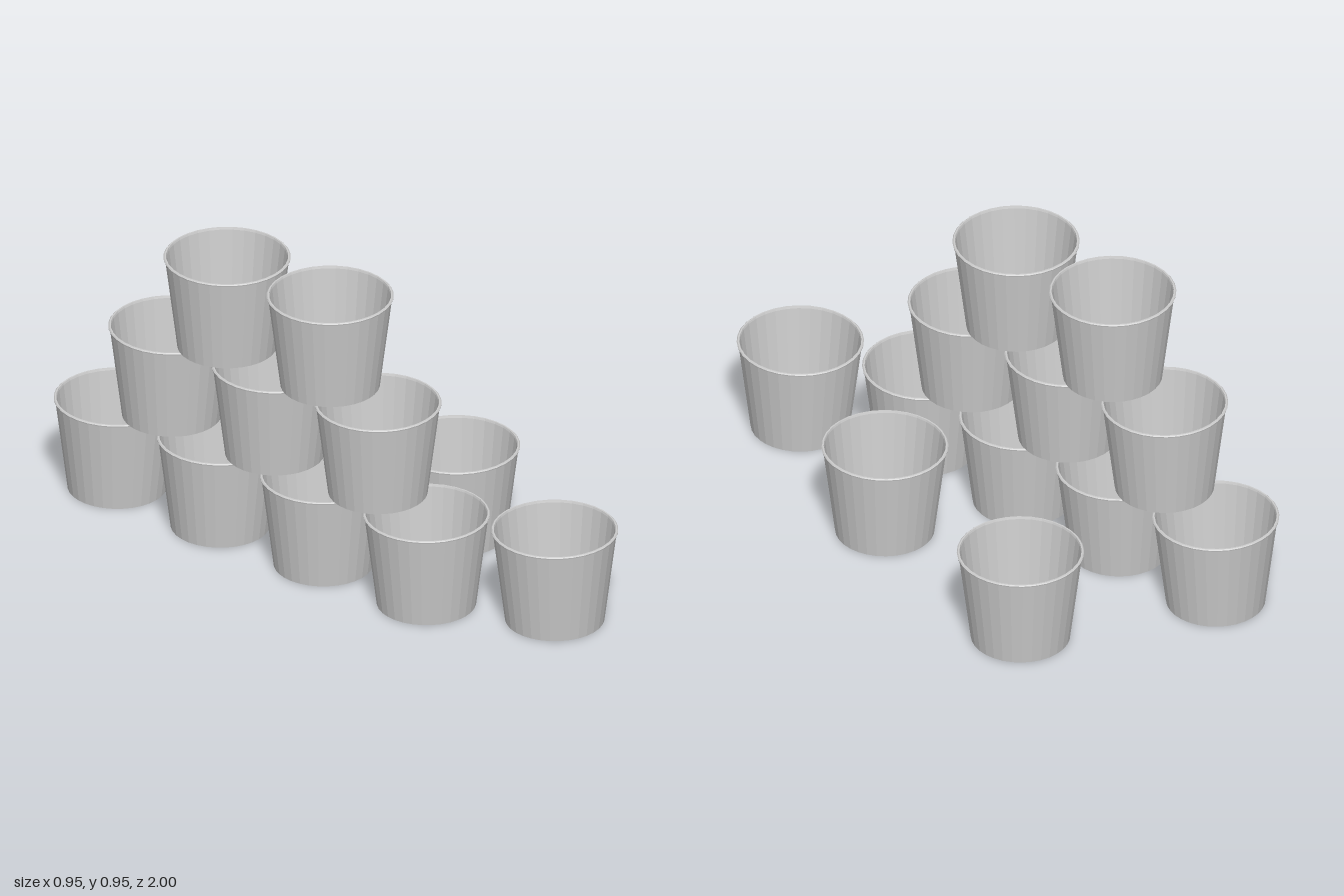
import * as THREE from 'three';

const HEIGHT = 0.312;

// Closed cup section: recessed base, tapered wall, rolled lip, inner wall, floor
function cupGeometry() {
  const profile = [
    [0, 0.006], [0.147, 0.006], [0.149, 0], [0.154, 0],
    [0.192, 0.304], [0.196, 0.305], [0.197, 0.309], [0.194, HEIGHT],
    [0.189, HEIGHT], [0.187, 0.306], [0.151, 0.010], [0, 0.010],
  ].map(([r, y]) => new THREE.Vector2(r, y));
  return new THREE.LatheGeometry(profile, 32);
}

export function createModel() {
  const model = new THREE.Group();
  model.name = 'cupStack';
  const geometry = cupGeometry();
  const material = new THREE.MeshStandardMaterial({ color: 0xcccccc, flatShading: true });

  function addCup(name, x, y, z) {
    const cup = new THREE.Mesh(geometry, material);
    cup.name = name;
    cup.position.set(x, y, z);
    model.add(cup);
  }

  // Pyramid wall of cups: rows of four, three and two
  const levels = [
    { y: 0, front: 0.428, count: 4 },
    { y: 0.323, front: 0.235, count: 3 },
    { y: 0.634, front: 0.045, count: 2 },
  ];
  levels.forEach(({ y, front, count }, level) => {
    for (let i = 0; i < count; i++) {
      addCup(`stackedCup${level + 1}_${i + 1}`, -0.281, y, front - i * 0.41);
    }
  });

  // Loose cups standing beside the wall
  [[0.278, -0.5], [0.133, 0.212], [-0.114, 0.803]].forEach(([x, z], i) => {
    addCup(`looseCup${i + 1}`, x, 0, z);
  });

  return model;
}
